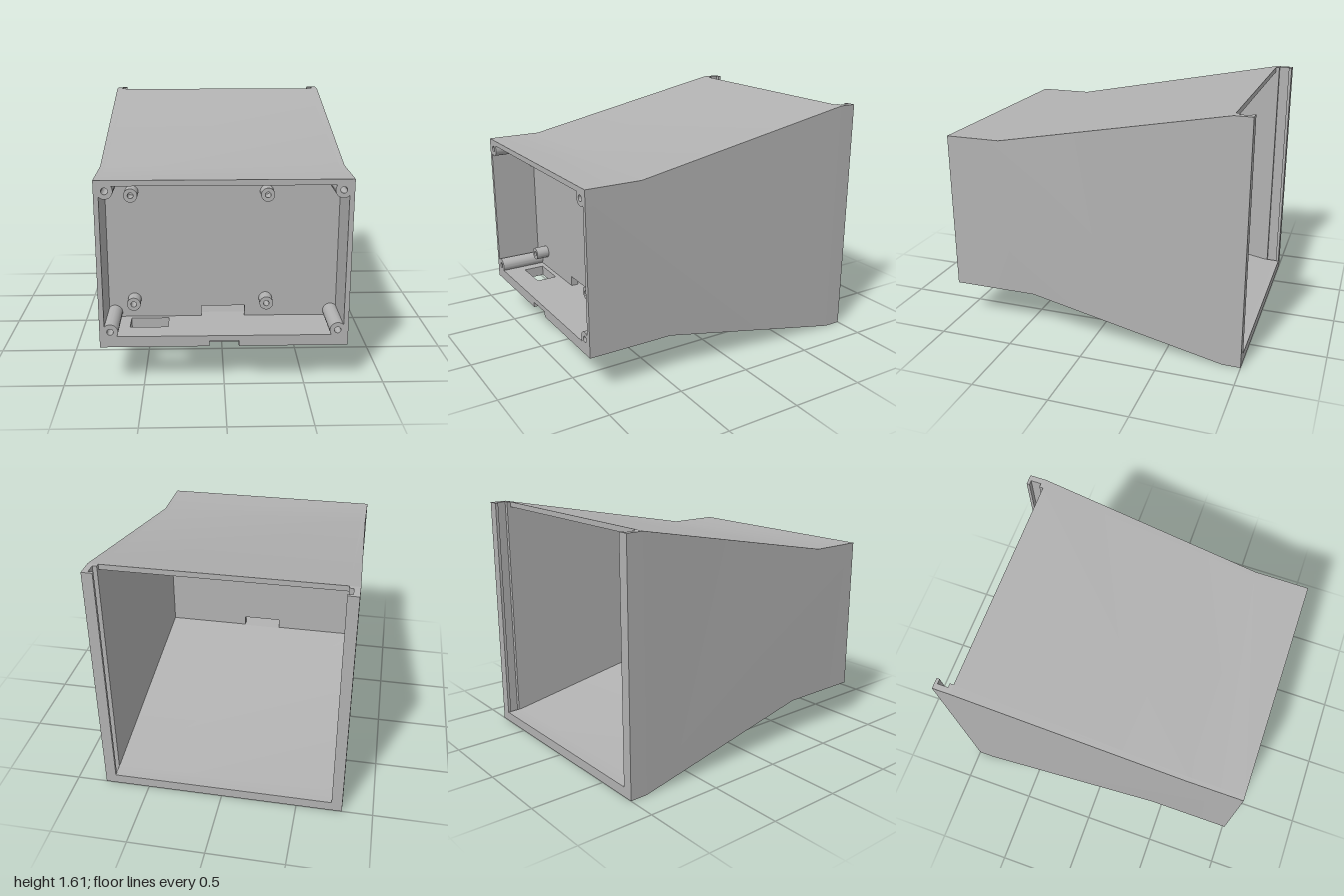
import * as THREE from 'three';
import { toCreasedNormals } from 'three/addons/utils/BufferGeometryUtils.js';

const INNER = 0.735; // half width of the inside
const FRONT = 0.765; // half width outside at the front
const BACK = 0.8; // half width outside at the back

export function createModel() {
  const group = new THREE.Group();
  const plastic = new THREE.MeshStandardMaterial({ color: 0xb2b2b2 });
  plastic.name = 'greyPlastic';

  const add = (name, geometry) => {
    const mesh = new THREE.Mesh(toCreasedNormals(geometry, 0.5), plastic);
    mesh.name = name;
    group.add(mesh);
  };
  const outline = (pts) => new THREE.Shape(pts.map(([a, b]) => new THREE.Vector2(a, b)));
  const rect = (x0, x1, y0, y1) => outline([[x0, y0], [x1, y0], [x1, y1], [x0, y1]]);
  const extrude = (shape, depth) =>
    new THREE.ExtrudeGeometry(shape, { depth, bevelEnabled: false, curveSegments: 20 });

  // (z, y) profile swept across x
  const acrossX = (pts, x0, x1) =>
    extrude(outline(pts), x1 - x0).rotateY(-Math.PI / 2).translate(x1, 0, 0);
  // (x, -z) plan raised along y
  const alongY = (shape, y0, y1) =>
    extrude(shape, y1 - y0).rotateX(-Math.PI / 2).translate(0, y0, 0);
  // (x, y) shape pushed along z
  const alongZ = (shape, z0, z1) => extrude(shape, z1 - z0).translate(0, 0, z0);

  // Top wall, stopping short of the back so a panel can slide in
  add('topWall', acrossX([
    [1, 1.315], [0.63, 1.315], [-0.885, 1.61],
    [-0.885, 1.575], [0.63, 1.28], [1, 1.28],
  ], -INNER, INNER));

  // Sloping floor
  add('floor', acrossX([
    [0.63, 0.26], [0.43, 0.26], [-0.89, 0], [-1, 0],
    [-1, 0.065], [-0.89, 0.065], [0.63, 0.33],
  ], -INNER, INNER));

  // Front floor in two layers: a cable notch in the lower, a port through both
  const port = rect(-0.59, -0.35, -0.86, -0.72);
  const lower = outline([
    [-INNER, -1], [-0.09, -1], [-0.09, -0.94], [0.09, -0.94], [0.09, -1],
    [INNER, -1], [INNER, -0.63], [-INNER, -0.63],
  ]);
  const upper = rect(-INNER, INNER, -1, -0.63);
  lower.holes.push(port);
  upper.holes.push(port);
  add('frontFloorLower', alongY(lower, 0.26, 0.295));
  add('frontFloorUpper', alongY(upper, 0.295, 0.33));

  const sideProfile = [
    [1, 0.26], [1, 1.315], [0.63, 1.315], [-0.885, 1.61], [-0.885, 0], [0.43, 0.26],
  ];
  for (const s of [-1, 1]) {
    const side = s < 0 ? 'right' : 'left';

    // Side wall, its outer face flaring towards the back
    const wall = s < 0 ? acrossX(sideProfile, -FRONT, -INNER) : acrossX(sideProfile, INNER, FRONT);
    const p = wall.attributes.position;
    for (let i = 0; i < p.count; i++) {
      if (Math.abs(p.getX(i)) < 0.75) continue;
      const t = THREE.MathUtils.clamp((0.43 - p.getZ(i)) / 1.315, 0, 1);
      p.setX(i, s * THREE.MathUtils.lerp(FRONT, BACK, t));
    }
    add(side + 'Wall', wall);

    // Back post with a groove for the sliding panel
    const post = [
      [BACK, 1], [0.73, 1], [0.73, 0.98], [0.762, 0.98],
      [0.762, 0.91], [INNER, 0.91], [INNER, 0.885], [BACK, 0.885],
    ].map(([x, y]) => [s * x, y]);
    add(side + 'GroovedPost', alongY(outline(post), 0, 1.61));
  }

  // Inner plate with a cable opening at its lower edge
  add('innerPlate', alongZ(outline([
    [-INNER, 0.33], [-0.14, 0.33], [-0.14, 0.4], [0.14, 0.4], [0.14, 0.33],
    [INNER, 0.33], [INNER, 1.3], [-INNER, 1.3],
  ]), 0.64, 0.69));

  // Hollow round posts
  const tube = (name, x, y, radius, bore, z1) => {
    const shape = new THREE.Shape().absarc(x, y, radius, 0, Math.PI * 2);
    shape.holes.push(new THREE.Path().absarc(x, y, bore, 0, Math.PI * 2));
    add(name, alongZ(shape, 0.69, z1));
  };
  for (const x of [-0.7, 0.7])
    for (const y of [0.36, 1.25]) tube('cornerScrewPost', x, y, 0.049, 0.02, 1);
  for (const x of [-0.57, 0.275])
    for (const y of [0.45, 1.165]) tube('boardStandoff', x, y, 0.043, 0.018, 0.78);

  return group;
}
